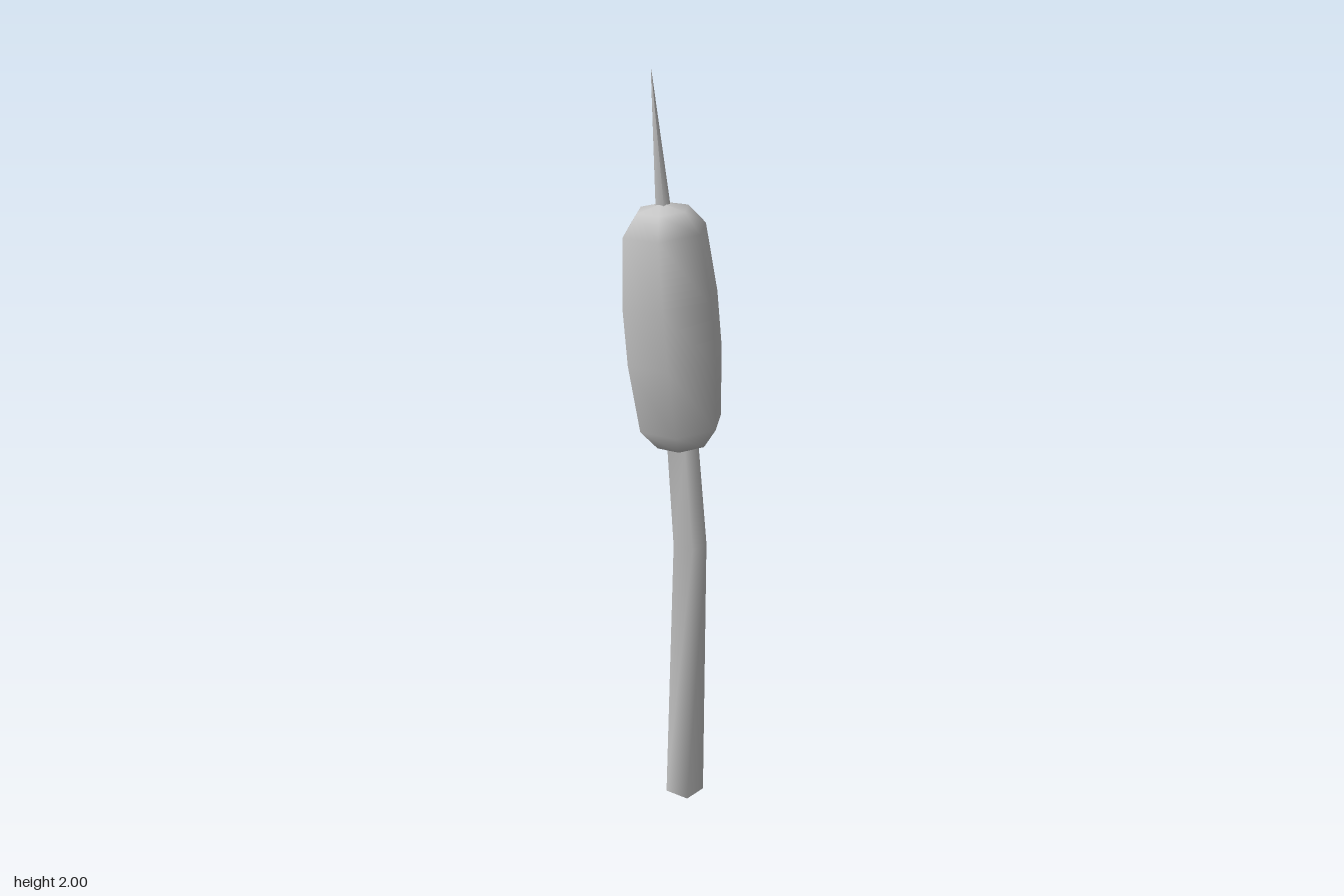
import * as THREE from 'three';

const gray = new THREE.MeshStandardMaterial({ color: 0xc4c4c4 });
gray.name = 'plain gray';

// Square rod through sections [x, y, z, half width], smooth round the sides, with flat ends
function squareRod(sections, name) {
  const pos = [], index = [];
  const corners = [[1, 1], [1, -1], [-1, -1], [-1, 1]];
  const ring = ([x, y, z, h]) => corners.forEach(([a, b]) => pos.push(x + a * h, y, z + b * h));
  sections.forEach(ring);
  for (let i = 0; i < sections.length - 1; i++) {
    for (let j = 0; j < 4; j++) {
      const a = i * 4 + j, b = i * 4 + (j + 1) % 4;
      index.push(a, b, b + 4, a, b + 4, a + 4);
    }
  }
  // Separate corners keep the end faces sharp
  const n = sections.length * 4;
  ring(sections[0]);
  ring(sections[sections.length - 1]);
  index.push(n, n + 2, n + 1, n, n + 3, n + 2);
  index.push(n + 4, n + 5, n + 6, n + 4, n + 6, n + 7);
  const geo = new THREE.BufferGeometry();
  geo.setAttribute('position', new THREE.Float32BufferAttribute(pos, 3));
  geo.setIndex(index);
  geo.computeVertexNormals();
  const mesh = new THREE.Mesh(geo, gray);
  mesh.name = name;
  return mesh;
}

export function createModel() {
  const model = new THREE.Group();
  model.name = 'cattail';

  // Bent stalk, reaching a little into the seed head
  model.add(squareRod([
    [0.035, 0, 0.015, 0.036],
    [0.036, 0.74, 0.03, 0.031],
    [0.025, 1.03, 0.013, 0.029],
  ], 'stalk'));

  // Six-sided seed head, leaning along the stalk
  const profile = [
    [0, -0.328], [0.07, -0.312], [0.113, -0.258], [0.13, -0.075],
    [0.13, 0.075], [0.113, 0.258], [0.07, 0.312], [0, 0.328],
  ].map(([r, y]) => new THREE.Vector2(r, y));
  const head = new THREE.Mesh(new THREE.LatheGeometry(profile, 6), gray);
  head.name = 'seedHead';
  head.position.set(0, 1.34, 0);
  head.quaternion.setFromUnitVectors(
    new THREE.Vector3(0, 1, 0), new THREE.Vector3(-0.06, 1, -0.056).normalize());
  model.add(head);

  // Thin spike on top
  model.add(squareRod([
    [-0.015, 1.64, -0.017, 0.014],
    [-0.042, 2, -0.034, 0.0005],
  ], 'spike'));

  return model;
}
